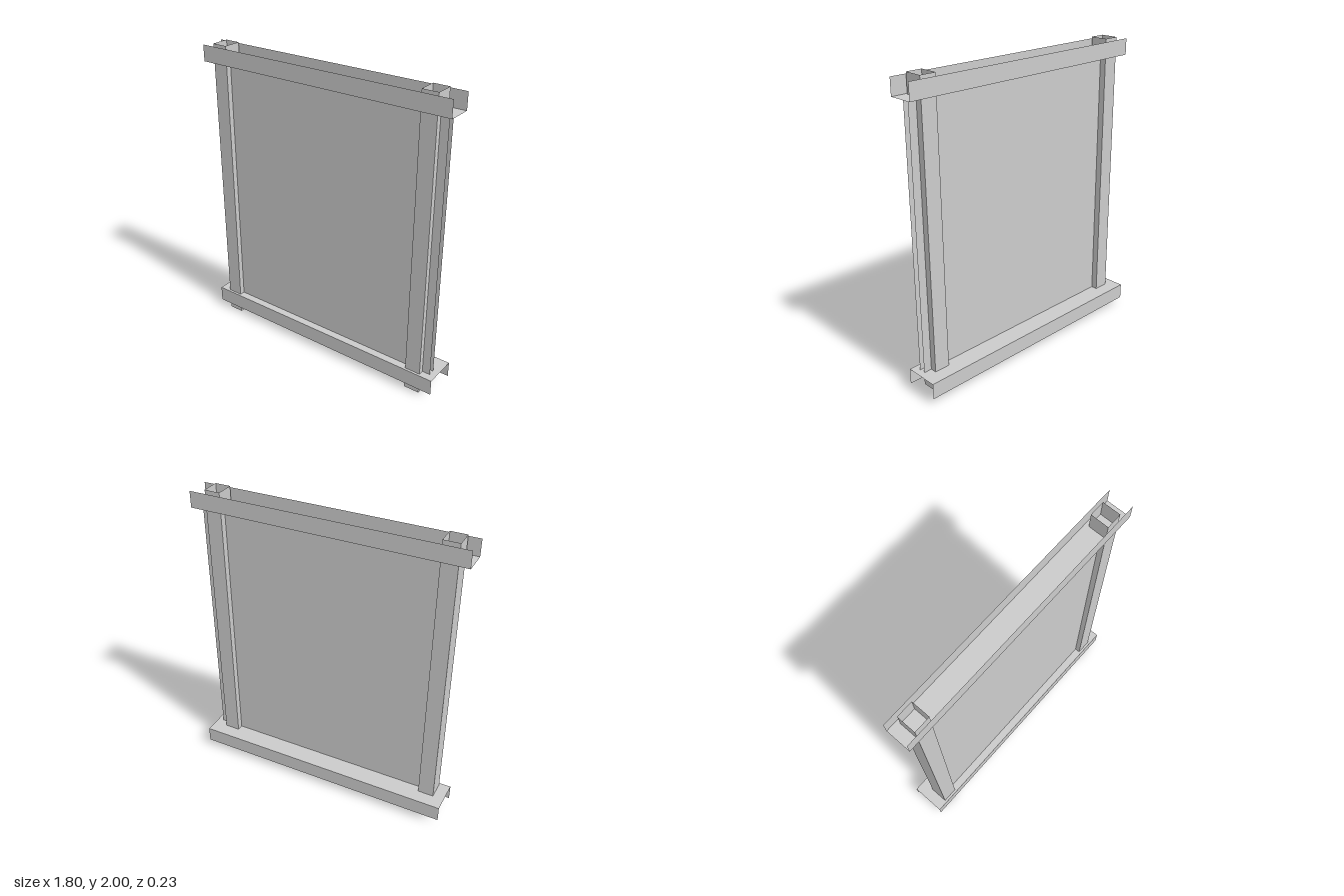
import * as THREE from 'three';
import { mergeGeometries } from 'three/addons/utils/BufferGeometryUtils.js';

const metal = new THREE.MeshStandardMaterial({ color: 0xcccccc, side: THREE.DoubleSide });

// Thin folded sheet: a 2D section (list of [a, b] points) swept along local z, centred on 0.
function foldedSheet(name, section, length) {
  const strips = [];
  for (let i = 0; i < section.length - 1; i++) {
    const [a0, b0] = section[i];
    const [a1, b1] = section[i + 1];
    const strip = new THREE.PlaneGeometry(Math.hypot(a1 - a0, b1 - b0), length);
    strip.rotateX(-Math.PI / 2);
    strip.rotateZ(Math.atan2(b1 - b0, a1 - a0));
    strip.translate((a0 + a1) / 2, (b0 + b1) / 2, 0);
    strips.push(strip);
  }
  const mesh = new THREE.Mesh(mergeGeometries(strips), metal);
  mesh.name = name;
  return mesh;
}

// Horizontal track: section is in (z, y), swept along x
function track(name, zBack, zFront, yWeb, yLip) {
  const section = [[-zFront, yLip], [-zFront, yWeb], [-zBack, yWeb], [-zBack, yLip]];
  const mesh = foldedSheet(name, section, 1.8);
  mesh.rotation.y = Math.PI / 2; // local x becomes -z
  return mesh;
}

// Vertical stud: section is in (x, z), swept along y
function stud(name, x0, x1, zFace, zLip) {
  const section = [[x0, -zLip], [x0, -zFace], [x1, -zFace], [x1, -zLip]];
  const mesh = foldedSheet(name, section, 2);
  mesh.rotation.x = -Math.PI / 2; // local y becomes -z, local z becomes y
  mesh.position.y = 1;
  return mesh;
}

export function createModel() {
  const model = new THREE.Group();
  model.name = 'framedPanel';
  const yLow = 0.148, yHigh = 1.876;

  // Channel tracks: the top one opens upward and is narrower, the bottom one opens downward
  model.add(track('topTrack', -0.05, 0.113, yHigh, 1.985));
  model.add(track('bottomTrack', -0.115, 0.113, yLow, 0.042));

  // Each upright is a front and a back channel, one overlapping the other
  for (const [side, x0, x1] of [['left', 0.7, 0.805], ['right', -0.825, -0.72]]) {
    model.add(stud(side + 'FrontStud', x0, x1, 0.097, 0.009));
    model.add(stud(side + 'BackStud', x0, x1, -0.024, 0.069));
  }

  // Two thin panels between the tracks
  const height = yHigh - yLow;
  for (const [name, z] of [['frontPanel', 0.061], ['backPanel', 0.019]]) {
    const panel = new THREE.Mesh(new THREE.PlaneGeometry(1.68, height), metal);
    panel.name = name;
    panel.position.set(0.02, yLow + height / 2, z);
    model.add(panel);
  }

  // Narrow rib joining the panels at the middle
  const rib = new THREE.Mesh(new THREE.PlaneGeometry(0.04, height), metal);
  rib.name = 'middleRib';
  rib.rotation.y = Math.PI / 2;
  rib.position.set(-0.01, yLow + height / 2, 0.04);
  model.add(rib);

  return model;
}
